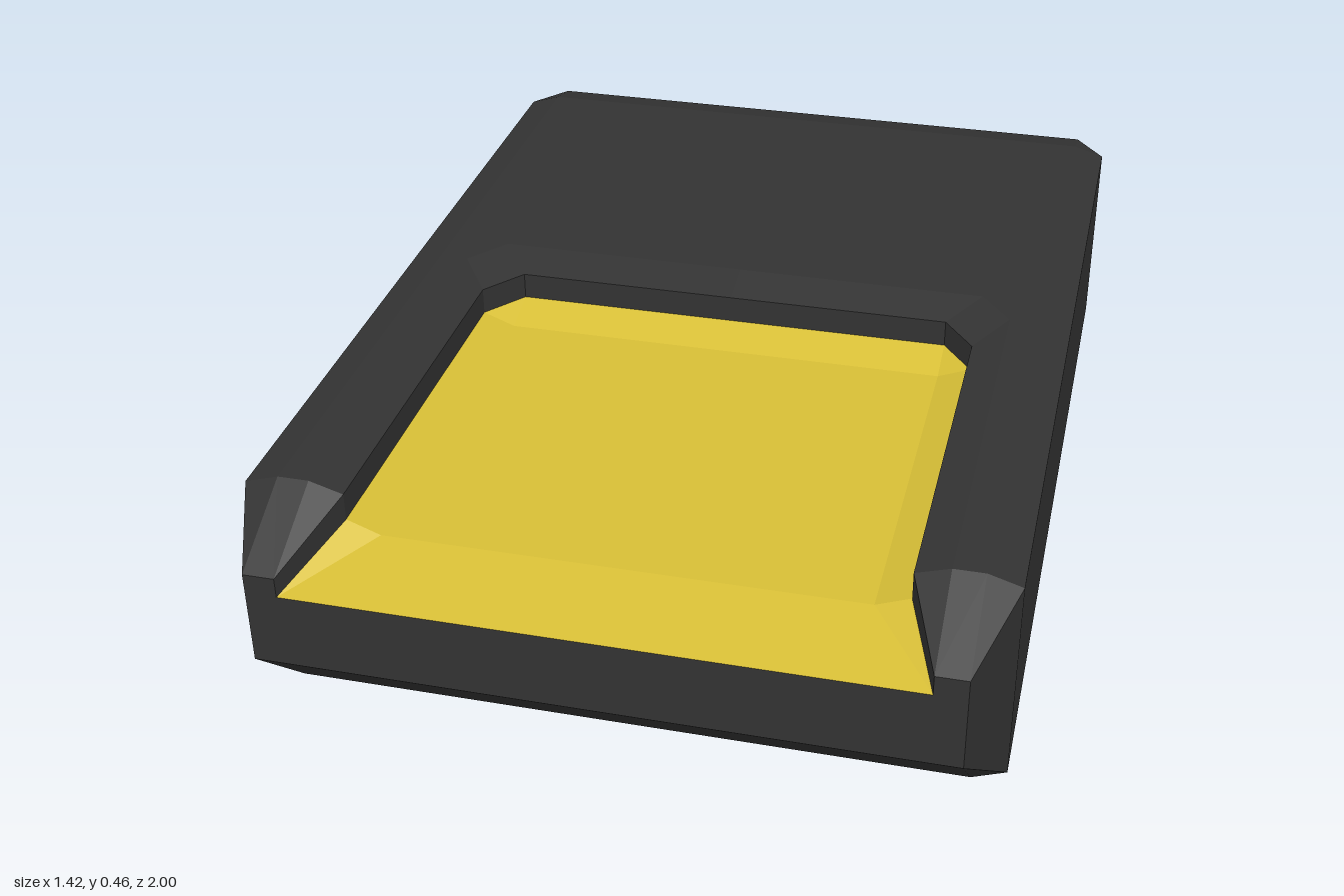
import * as THREE from 'three';

// Collects flat polygons for the +x half and mirrors each one to -x.
// "out" is a rough outward direction that settles the winding.
function mirroredFaces(faces) {
  const pos = [];
  const a = new THREE.Vector3(), b = new THREE.Vector3();
  for (const [out, ...pts] of faces) {
    for (const side of [1, -1]) {
      const v = pts.map(p => new THREE.Vector3(p[0] * side, p[1], p[2]));
      const dir = new THREE.Vector3(out[0] * side, out[1], out[2]);
      for (let i = 1; i < v.length - 1; i++) {
        const tri = [v[0], v[i], v[i + 1]];
        a.subVectors(tri[1], tri[0]);
        b.subVectors(tri[2], tri[0]);
        if (a.cross(b).dot(dir) < 0) tri.reverse();
        tri.forEach(p => pos.push(p.x, p.y, p.z));
      }
    }
  }
  const geo = new THREE.BufferGeometry();
  geo.setAttribute('position', new THREE.Float32BufferAttribute(pos, 3));
  geo.computeVertexNormals();
  return geo;
}

const mid = p => [0, p[1], p[2]];
const UP = [0, 1, 0], DOWN = [0, -1, 0], LEFT = [1, 0, 0], IN = [-1, 0, 0];
const FRONT = [0, 0, 1], BACK = [0, 0, -1];

export function createModel() {
  const group = new THREE.Group();
  const add = (name, geo, color) => {
    const mesh = new THREE.Mesh(geo, new THREE.MeshStandardMaterial({ color, flatShading: true }));
    mesh.name = name;
    group.add(mesh);
    return mesh;
  };

  // Outer shell corners: upper set, then lower set
  const T0 = [0.645, 0.46, 0.82], T1 = [0.645, 0.46, -0.915];
  const S0 = [0.71, 0.44, 0.82], S1 = [0.71, 0.44, -0.915];
  const K = [0.645, 0.44, -1], F = [0.645, 0.37, 1];
  const t0 = [0.645, 0, 0.82], t1 = [0.645, 0, -0.915];
  const s0 = [0.71, 0.025, 0.82], s1 = [0.71, 0.025, -0.915];
  const k = [0.645, 0.025, -1], f = [0.645, 0.18, 1];

  // Label recess: bevelled rim, lower rim, foot of the wall, front opening
  const R0 = [0.585, 0.46, 0.82], R1 = [0.585, 0.46, -0.05], R2 = [0.52, 0.46, -0.135];
  const Q0 = [0.52, 0.44, 0.82], Q1 = [0.52, 0.44, 0.04], Q2 = [0.455, 0.44, -0.045];
  const P0 = [0.52, 0.385, 0.82], P1 = [0.52, 0.385, 0.04], P2 = [0.455, 0.385, -0.045];
  const G = [0.585, 0.37, 1], H = [0.585, 0.33, 1], h = [0.585, 0.18, 1];

  // Bottom recess: rim and floor
  const B0 = [0.58, 0, 0.73], B1 = [0.58, 0, -0.82];
  const C0 = [0.58, 0.05, 0.73], C1 = [0.58, 0.05, -0.82];

  add('body', mirroredFaces([
    // top
    [UP, T0, R0, R1, T1], [UP, R1, R2, T1], [UP, R2, mid(R2), mid(T1), T1],
    [UP, T0, F, G, R0],
    // edge bevels
    [[1, 1, 0], T0, T1, S1, S0], [[1, 1, 0], T0, S0, F],
    [[0, 1, -1], T1, mid(T1), mid(K), K], [[1, 1, -1], T1, S1, K],
    [[1, -1, 0], t0, t1, s1, s0], [[1, -1, 0], t0, s0, f],
    [[0, -1, -1], t1, mid(t1), mid(k), k], [[1, -1, -1], t1, s1, k],
    // sides, back and front
    [LEFT, S0, S1, s1, s0], [[1, 0, -1], S1, K, k, s1], [[1, 0, 1], S0, F, f, s0],
    [BACK, K, mid(K), mid(k), k],
    [FRONT, F, G, h, f], [FRONT, H, mid(H), mid(h), h],
    [[0, -1, 1], f, mid(f), mid(t0), t0],
    // label recess bevel and walls
    [UP, R0, R1, Q1, Q0], [UP, R1, R2, Q2, Q1], [UP, R2, mid(R2), mid(Q2), Q2],
    [UP, R0, Q0, G],
    [IN, Q0, Q1, P1, P0], [[-1, 0, 1], Q1, Q2, P2, P1],
    [FRONT, Q2, mid(Q2), mid(P2), P2], [IN, Q0, G, H, P0],
    // bottom and its recess
    [DOWN, t0, t1, B1, B0], [DOWN, t0, mid(t0), mid(B0), B0], [DOWN, t1, mid(t1), mid(B1), B1],
    [IN, B0, B1, C1, C0], [BACK, B0, mid(B0), mid(C0), C0], [FRONT, B1, mid(B1), mid(C1), C1],
    [DOWN, C0, C1, mid(C1), mid(C0)],
  ]), 0x333333);

  // Dished label that runs down over the front lip
  const D0 = [0.455, 0.36, 0.82], D1 = [0.455, 0.36, 0.04];
  add('topLabel', mirroredFaces([
    [UP, D0, D1, mid(D1), mid(D0)],
    [UP, P0, P1, D1, D0], [UP, P1, P2, D1], [UP, P2, mid(P2), mid(D1), D1],
    [UP, D0, mid(D0), mid(H), H], [UP, D0, P0, H],
  ]), 0xd8bf36);

  // Raised panel inside the bottom recess
  add('bottomPanel', new THREE.BoxGeometry(1.04, 0.05, 1.42), 0xd23c4a)
    .position.set(0, 0.025, -0.05);

  return group;
}
